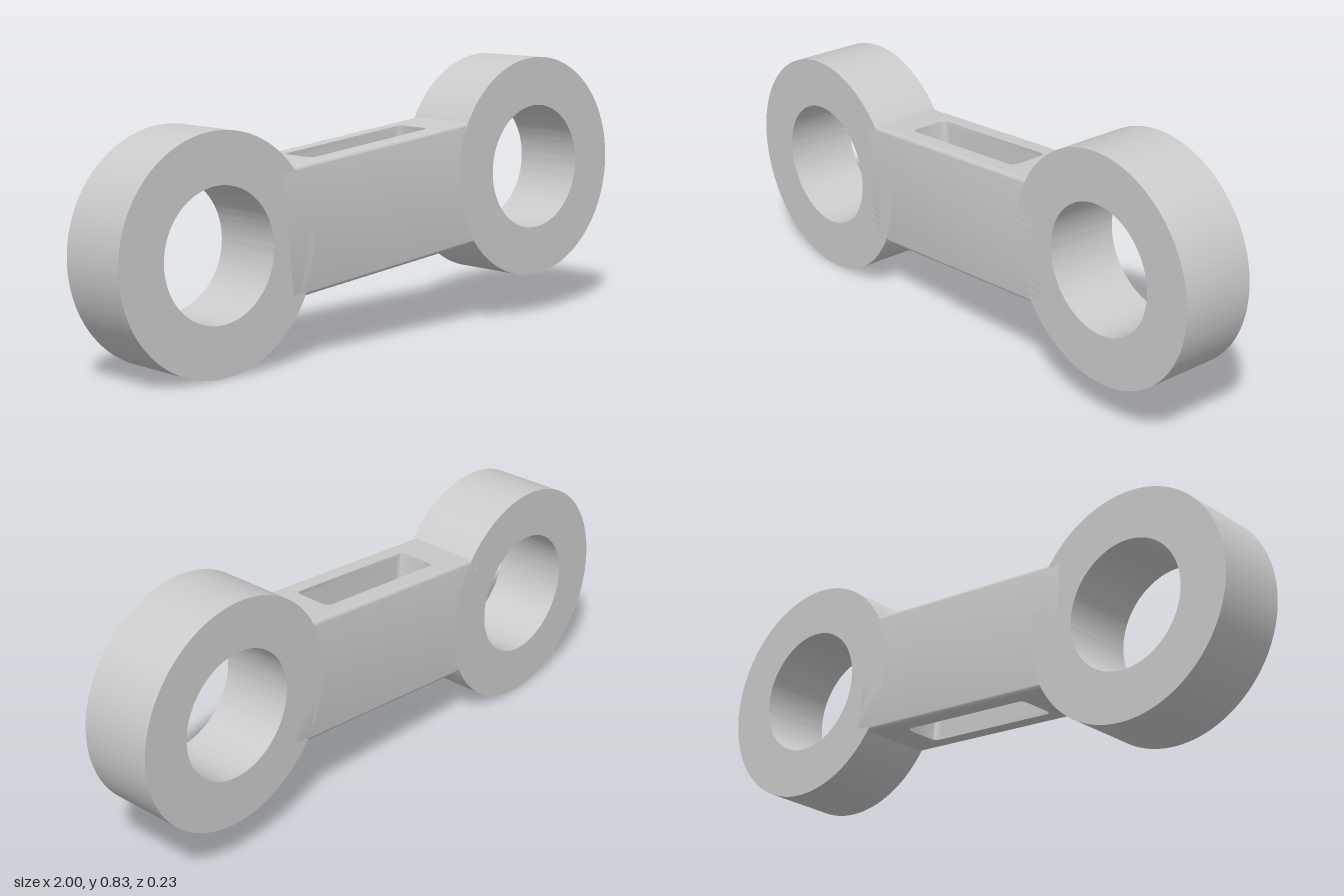
import * as THREE from 'three';
import { toCreasedNormals } from 'three/addons/utils/BufferGeometryUtils.js';

const HALF_T = 0.117;                       // half thickness in z
const EYE_X = 0.65, EYE_R = 0.35, BORE_R = 0.197;
const LOW_Y = 0.35, HIGH_Y = 0.485;         // heights of the two eye centres
const TILT = Math.atan2(HIGH_Y - LOW_Y, 2 * EYE_X);
const BAR = { halfLength: 0.4, halfHeight: 0.191, fillet: 0.012 };
const SLOT = { halfLength: 0.24, halfWidth: 0.062, radius: 0.02 };

// Thick ring with a straight bore
function eyeGeometry() {
  const shape = new THREE.Shape().absarc(0, 0, EYE_R, 0, Math.PI * 2, false);
  shape.holes.push(new THREE.Path().absarc(0, 0, BORE_R, 0, Math.PI * 2, true));
  const g = new THREE.ExtrudeGeometry(shape, { depth: 2 * HALF_T, bevelEnabled: false, curveSegments: 80 });
  g.translate(0, 0, -HALF_T);
  return toCreasedNormals(g, 0.5);
}

// Rounded rectangle outline of the slot
function slotPath({ halfLength: a, halfWidth: b, radius: r }) {
  const p = new THREE.Path();
  p.absarc(a - r, b - r, r, 0, Math.PI / 2, false);
  p.absarc(r - a, b - r, r, Math.PI / 2, Math.PI, false);
  p.absarc(r - a, r - b, r, Math.PI, Math.PI * 1.5, false);
  p.absarc(a - r, r - b, r, Math.PI * 1.5, Math.PI * 2, false);
  p.closePath();
  return p;
}

// Bar drawn in plan and extruded upwards: filleted outside, sharp at the slot
function barGeometry() {
  const { halfLength: a, halfHeight: h, fillet: f } = BAR;
  const shape = new THREE.Shape([[-a, -HALF_T], [a, -HALF_T], [a, HALF_T], [-a, HALF_T]]
    .map(([x, y]) => new THREE.Vector2(x, y)));
  shape.holes.push(slotPath(SLOT));
  const g = new THREE.ExtrudeGeometry(shape, {
    depth: 2 * (h - f), bevelThickness: f, bevelSize: f, bevelOffset: -f, bevelSegments: 4, curveSegments: 8,
  });
  g.translate(0, 0, f - h);

  // Pull the slot rim back onto the straight slot wall
  const pos = g.attributes.position, r = SLOT.radius;
  for (let i = 0; i < pos.count; i++) {
    const x = pos.getX(i), y = pos.getY(i);
    if (Math.abs(x) > SLOT.halfLength + 2 * f || Math.abs(y) > SLOT.halfWidth + 1.5 * f) continue;
    const cx = THREE.MathUtils.clamp(x, r - SLOT.halfLength, SLOT.halfLength - r);
    const cy = THREE.MathUtils.clamp(y, r - SLOT.halfWidth, SLOT.halfWidth - r);
    const d = Math.hypot(x - cx, y - cy);
    if (d > r) pos.setXY(i, cx + (x - cx) * r / d, cy + (y - cy) * r / d);
  }
  g.rotateX(-Math.PI / 2);
  return toCreasedNormals(g, 0.6);
}

export function createModel() {
  const group = new THREE.Group();
  group.name = 'connectingLink';
  const material = new THREE.MeshStandardMaterial({ color: 0xcccccc });

  // Two eyes, the left one higher
  const eye = eyeGeometry();
  for (const [name, x, y] of [['rightEye', -EYE_X, LOW_Y], ['leftEye', EYE_X, HIGH_Y]]) {
    const mesh = new THREE.Mesh(eye, material);
    mesh.name = name;
    mesh.position.set(x, y, 0);
    group.add(mesh);
  }

  // Slotted bar, its ends buried in the eyes
  const bar = new THREE.Mesh(barGeometry(), material);
  bar.name = 'slottedBar';
  bar.position.y = (LOW_Y + HIGH_Y) / 2 + 0.003;
  bar.rotation.z = TILT;
  group.add(bar);
  return group;
}
